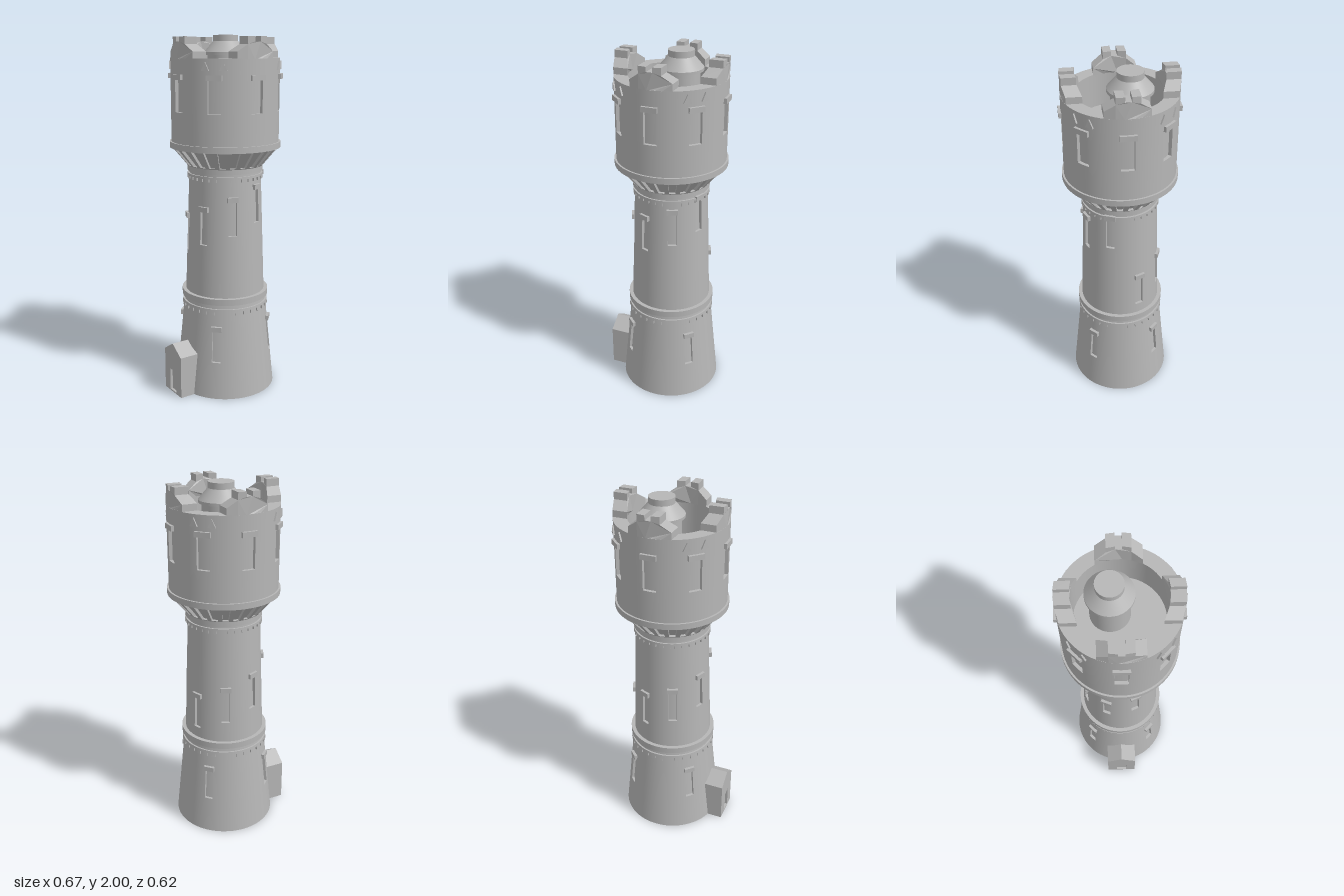
import * as THREE from 'three';
import { mergeGeometries } from 'three/addons/utils/BufferGeometryUtils.js';

const TAU = Math.PI * 2;
const stone = new THREE.MeshStandardMaterial({ color: 0xb6b6b6 });
stone.name = 'stone grey';

// Round wall from (r0,y0) to (r1,y1). Each panel is sunk (d > 0) or raised (d < 0).
function wallGeometry(y0, r0, y1, r1, panels) {
  const pos = [], nor = [];
  const tidy = list => list.sort((p, q) => p - q).filter((v, i, l) => i === 0 || v - l[i - 1] > 1e-5);
  const mod = a => ((a % TAU) + TAU) % TAU;
  const angles = [], ys = [y0, y1];
  for (let i = 0; i <= 72; i++) angles.push(i / 72 * TAU);
  for (const p of panels) {
    angles.push(mod(p.a - p.half), mod(p.a + p.half));
    ys.push(p.lo, p.hi);
  }
  const A = tidy(angles), Y = tidy(ys);
  const len = Math.hypot(y1 - y0, r1 - r0);
  const P = (a, y, d) => {
    const r = r0 + (r1 - r0) * (y - y0) / (y1 - y0) - d;
    return new THREE.Vector3(r * Math.sin(a), y, r * Math.cos(a));
  };
  const N = a => new THREE.Vector3((y1 - y0) * Math.sin(a), r0 - r1, (y1 - y0) * Math.cos(a)).divideScalar(len);
  const quad = (c, n) => {
    if (!n) {
      const f = c[1].clone().sub(c[0]).cross(c[2].clone().sub(c[0])).normalize();
      n = [f, f, f, f];
    }
    for (const k of [0, 1, 2, 0, 2, 3]) { pos.push(...c[k].toArray()); nor.push(...n[k].toArray()); }
  };
  const na = A.length - 1, ny = Y.length - 1;
  const depth = (i, j) => {
    const a = (A[i] + A[i + 1]) / 2, y = (Y[j] + Y[j + 1]) / 2;
    const hit = panels.find(p => y > p.lo && y < p.hi && Math.abs(mod(a - p.a + Math.PI) - Math.PI) < p.half);
    return hit ? hit.d : 0;
  };
  for (let i = 0; i < na; i++) for (let j = 0; j < ny; j++) {
    const a = A[i], b = A[i + 1], lo = Y[j], hi = Y[j + 1], d = depth(i, j);
    quad([P(a, lo, d), P(b, lo, d), P(b, hi, d), P(a, hi, d)], [N(a), N(b), N(b), N(a)]);
    const e = depth((i + 1) % na, j);
    if (e !== d) quad([P(b, lo, d), P(b, lo, e), P(b, hi, e), P(b, hi, d)]);
    const u = j + 1 < ny ? depth(i, j + 1) : d;
    if (u !== d) quad([P(a, hi, d), P(b, hi, d), P(b, hi, u), P(a, hi, u)]);
  }
  const g = new THREE.BufferGeometry();
  g.setAttribute('position', new THREE.Float32BufferAttribute(pos, 3));
  g.setAttribute('normal', new THREE.Float32BufferAttribute(nor, 3));
  return g;
}

// Lathe with a hard edge at every profile point
function turned(profile) {
  const parts = [];
  for (let i = 0; i + 1 < profile.length; i++)
    parts.push(new THREE.LatheGeometry([profile[i], profile[i + 1]].map(p => new THREE.Vector2(...p)), 72));
  return mergeGeometries(parts);
}

// Row of teeth hanging from a thin raised band
function dentils(count, lo, mid, hi) {
  const list = [{ a: 0, half: Math.PI, lo: mid, hi, d: -0.009 }];
  for (let i = 0; i < count; i++)
    list.push({ a: (i + 0.5) / count * TAU, half: TAU / count * 0.27, lo, hi: mid, d: -0.009 });
  return list;
}

// Battlement: profile across the wall, bent onto the inner and outer radius
function battlementGeometry(inner, outer) {
  const half = [[0.016, 1.965], [0.016, 1.99], [0.059, 1.99], [0.059, 1.952], [0.112, 1.915],
    [0.112, 1.875], [0.059, 1.875], [0.016, 1.875]];
  const left = half.map(([t, h]) => [-t, h]).reverse();
  const shape = new THREE.Shape([...half, ...left].map(p => new THREE.Vector2(...p)));
  const g = new THREE.ExtrudeGeometry(shape, { depth: 1, bevelEnabled: false });
  const p = g.attributes.position;
  for (let i = 0; i < p.count; i++) {
    const r = p.getZ(i) > 0.5 ? outer : inner;
    p.setZ(i, Math.sqrt(r * r - p.getX(i) ** 2));
  }
  g.computeVertexNormals();
  return g;
}

export function createModel() {
  const model = new THREE.Group();
  model.name = 'watchTower';
  const tower = new THREE.Group();
  tower.name = 'tower';
  tower.position.x = 0.025;
  model.add(tower);

  const add = (name, geometry, parent = tower) => {
    const m = new THREE.Mesh(geometry, stone);
    m.name = name;
    parent.add(m);
    return m;
  };
  // Place a part on the wall, facing outward
  const onWall = (mesh, a, r, y) => {
    mesh.position.set(r * Math.sin(a), y, r * Math.cos(a));
    mesh.rotation.y = a;
  };
  // Sunken window with a lintel above it
  const makeWindow = (a, lo, hi, w, radius, d) => {
    const r = radius(hi);
    onWall(add('windowLintel', new THREE.BoxGeometry(w + 0.014, 0.028, 0.026)), a, r, hi + 0.014);
    return { a, half: w / 2 / r, lo, hi, d };
  };

  // Base
  const baseR = y => 0.287 - 0.055 * y / 0.545;
  const baseWindows = [1, 3, 5, 7].map(i => makeWindow(i * TAU / 8, 0.21, 0.392, 0.046, baseR, 0.015));
  add('baseWall', wallGeometry(0, baseR(0), 0.545, baseR(0.545), [...baseWindows, ...dentils(32, 0.485, 0.505, 0.52)]));
  add('baseFloor', turned([[0, 0], [0.287, 0]]));
  add('lowerRing', turned([[0.225, 0.545], [0.247, 0.545], [0.247, 0.58], [0.2, 0.58]]));

  // Shaft with windows climbing in a spiral
  const shaftR = y => 0.226 - 0.026 * (y - 0.56) / 0.72;
  const shaftWindows = [];
  for (let i = 0; i < 8; i++) {
    const lo = 0.64 + i * 0.0585;
    shaftWindows.push(makeWindow((i + 2.5) * TAU / 8, lo, lo + 0.188, 0.046, shaftR, 0.015));
  }
  add('shaftWall', wallGeometry(0.56, shaftR(0.56), 1.28, shaftR(1.28), [...dentils(32, 1.228, 1.245, 1.258), ...shaftWindows]));
  add('neckRing', turned([[0.19, 1.272], [0.211, 1.272], [0.211, 1.3], [0.19, 1.3]]));

  // Flared collar with ribs between sunken panels
  const ribs = [];
  for (let i = 0; i < 24; i++) ribs.push({ a: (i + 0.5) / 24 * TAU, half: TAU / 24 * 0.3, lo: 1.305, hi: 1.399, d: 0.02 });
  add('ribbedCollar', wallGeometry(1.298, 0.21, 1.402, 0.297, ribs));
  add('upperRing', turned([[0.25, 1.4], [0.307, 1.4], [0.307, 1.433], [0.28, 1.433]]));

  // Head of the tower
  const headR = 0.297, innerR = 0.225;
  const headWindows = [];
  for (let i = 0; i < 8; i++) headWindows.push(makeWindow(i * TAU / 8, 1.6, 1.77, 0.07, () => headR, 0.018));
  add('headWall', wallGeometry(1.42, headR, 1.88, headR, headWindows));
  add('parapetInside', turned([[headR, 1.88], [innerR, 1.88], [innerR, 1.7], [0, 1.7]]));

  const battlement = battlementGeometry(innerR, headR);
  for (let i = 0; i < 4; i++) add('battlement', battlement).rotation.y = i * TAU / 4;

  // Small triangular studs in pairs
  const triangle = new THREE.Shape([[-0.021, 0], [0.021, 0], [0, 0.044]].map(p => new THREE.Vector2(...p)));
  const stud = new THREE.ExtrudeGeometry(triangle, { depth: 0.014, bevelEnabled: false });
  for (let i = 0; i < 4; i++) for (const s of [-1, 1])
    onWall(add('triangleStud', stud), (i + 0.5) * TAU / 4 + s * 0.157, headR - 0.006, 1.82);

  // Roof turret
  const turret = add('roofTurret', turned([[0.1, 1.7], [0.1, 1.895], [0.118, 1.895], [0.118, 1.91],
    [0.068, 1.968], [0.068, 2], [0, 2]]), model);
  turret.position.set(0.059, 0, -0.046);

  // Entrance porch with a sunken doorway
  const porch = new THREE.Group();
  porch.name = 'porch';
  porch.position.x = -0.333;
  porch.rotation.y = -Math.PI / 2;
  model.add(porch);
  const gable = () => new THREE.Shape([[-0.089, 0], [0.089, 0], [0.089, 0.242], [0, 0.3], [-0.089, 0.242]].map(p => new THREE.Vector2(...p)));
  const front = gable();
  front.holes.push(new THREE.Path([[-0.032, 0.008], [-0.032, 0.135], [0.032, 0.135], [0.032, 0.008]].map(p => new THREE.Vector2(...p))));
  add('porchFront', new THREE.ExtrudeGeometry(front, { depth: 0.015, bevelEnabled: false }), porch).position.z = -0.015;
  add('porchBody', new THREE.ExtrudeGeometry(gable(), { depth: 0.135, bevelEnabled: false }), porch).position.z = -0.15;

  return model;
}
